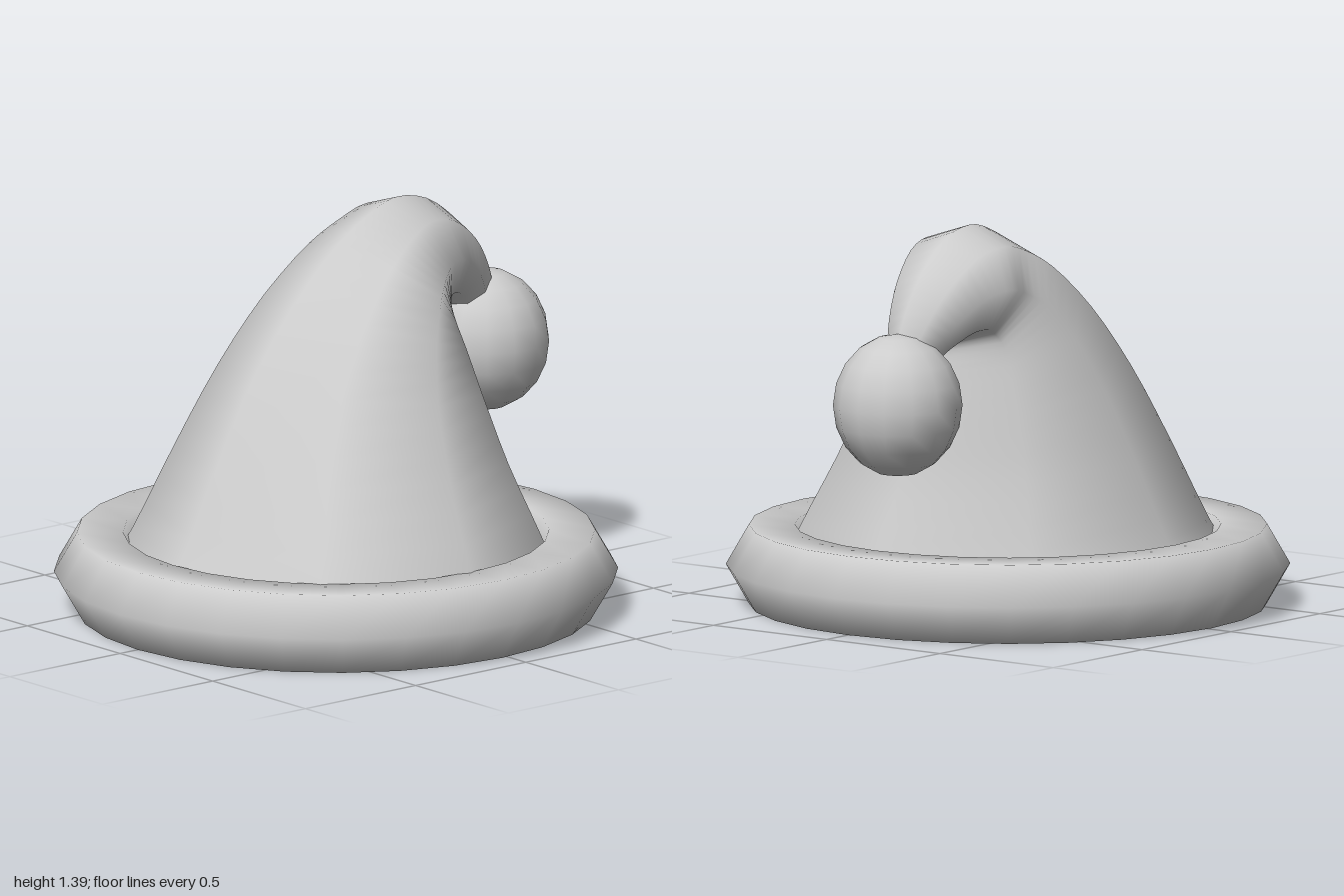
import * as THREE from 'three';

// Stations along the bend: outer x,y / inner x,y / centre z, half depth
const STATIONS = [
  [-0.83, 0.14, 0.72, 0.14, 0.03, 0.8],
  [-0.75, 0.28, 0.67, 0.28, 0.03, 0.72],
  [-0.57, 0.58, 0.58, 0.52, 0, 0.59],
  [-0.38, 0.86, 0.52, 0.74, -0.03, 0.475],
  [-0.17, 1.1, 0.475, 0.88, -0.05, 0.39],
  [0.05, 1.28, 0.45, 0.95, -0.07, 0.32],
  [0.2, 1.355, 0.455, 0.975, -0.09, 0.275],
  [0.35, 1.39, 0.48, 0.993, -0.12, 0.245],
  [0.5, 1.36, 0.515, 0.995, -0.13, 0.21],
  [0.65, 1.25, 0.56, 0.98, -0.14, 0.165],
  [0.74, 1.12, 0.6, 0.955, -0.14, 0.12],
  [0.79, 1.0, 0.64, 0.9, -0.14, 0.08],
];
const SIDES = 8;
const STEPS = 3;

// Eight-sided rings lofted through the smoothed stations
function coneRings() {
  const curve = (k) => new THREE.CatmullRomCurve3(
    STATIONS.map((s) => new THREE.Vector3(s[k], s[k + 1], 0)));
  const outer = curve(0), inner = curve(2), depth = curve(4);
  const count = (STATIONS.length - 1) * STEPS;
  const rings = [];
  for (let i = 0; i <= count; i++) {
    const t = i / count;
    const a = outer.getPoint(t), b = inner.getPoint(t), d = depth.getPoint(t);
    const mid = a.clone().add(b).multiplyScalar(0.5);
    const half = a.clone().sub(b).multiplyScalar(0.5);
    const ring = [];
    for (let j = 0; j < SIDES; j++) {
      const angle = (j / SIDES) * Math.PI * 2;
      const p = mid.clone().addScaledVector(half, Math.cos(angle));
      p.z = d.x + d.y * Math.sin(angle);
      ring.push(p);
    }
    rings.push(ring);
  }
  return rings;
}

function meshGeometry(points, index) {
  const geometry = new THREE.BufferGeometry().setFromPoints(points);
  geometry.setIndex(index);
  geometry.computeVertexNormals();
  return geometry;
}

export function createModel() {
  const group = new THREE.Group();
  const felt = new THREE.MeshStandardMaterial({ color: 0xcccccc });
  felt.name = 'light grey felt';
  const add = (name, geometry) => {
    const mesh = new THREE.Mesh(geometry, felt);
    mesh.name = name;
    group.add(mesh);
    return mesh;
  };

  // Bent cone, closed at the tip inside the pompom
  const rings = coneRings();
  const index = [];
  for (let i = 0; i < rings.length - 1; i++) {
    for (let j = 0; j < SIDES; j++) {
      const k = (j + 1) % SIDES;
      const a = i * SIDES + j, b = i * SIDES + k;
      index.push(a, b, b + SIDES, a, b + SIDES, a + SIDES);
    }
  }
  add('bentCone', meshGeometry(rings.flat(), index));

  // Flat underside of the cone, facing down
  const fan = [];
  for (let j = 1; j < SIDES - 1; j++) fan.push(0, j + 1, j);
  add('coneBase', meshGeometry(rings[0], fan));

  // Rolled brim with a hexagonal section
  const brim = add('brim', new THREE.TorusGeometry(0.82, 0.16, 6, 28).rotateX(-Math.PI / 2));
  brim.position.set(-0.02, 0.14, 0);

  // Slightly tall ball hanging from the tip
  const pompom = add('pompom', new THREE.SphereGeometry(0.225, 14, 10).scale(1, 1.11, 1));
  pompom.position.set(0.772, 0.81, -0.135);

  return group;
}
